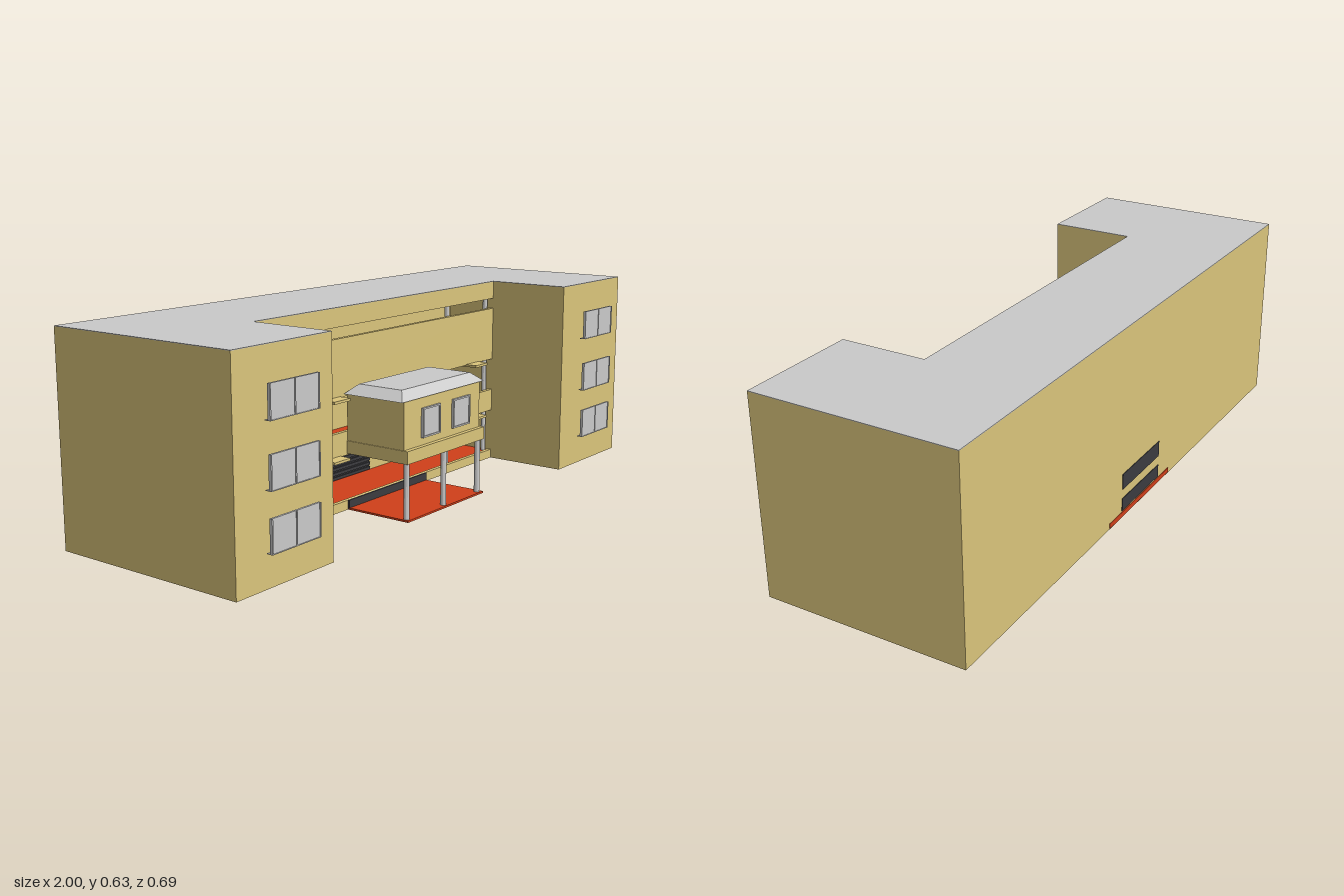
import * as THREE from 'three';

export function createModel() {
  const model = new THREE.Group();
  const mat = (color) => new THREE.MeshStandardMaterial({ color, flatShading: true });
  const yellow = mat(0xdcc67c), red = mat(0xd2401a), dark = mat(0x3c3c40), grey = mat(0xcccccc);

  const add = (name, geometry, material) => {
    const mesh = new THREE.Mesh(geometry, material);
    mesh.name = name;
    model.add(mesh);
    return mesh;
  };
  // Box given by its extents
  const box = (name, material, x0, x1, y0, y1, z0, z1) => {
    const mesh = add(name, new THREE.BoxGeometry(x1 - x0, y1 - y0, z1 - z0), material);
    mesh.position.set((x0 + x1) / 2, (y0 + y1) / 2, (z0 + z1) / 2);
    return mesh;
  };
  const column = (name, x, z, y0, y1, r) => {
    const mesh = add(name, new THREE.CylinderGeometry(r, r, y1 - y0, 12), grey);
    mesh.position.set(x, (y0 + y1) / 2, z);
  };

  const L = -0.62, R = 0.605, H = 0.633, BACK = -0.345, INNER = -0.15, FRONT = 0.03, WING = 0.31;

  // Main block and the two projecting wings
  box('rearBlock', yellow, -1, 1, 0, H, BACK, INNER);
  box('rightWing', yellow, -1, L, 0, H, INNER, WING);
  box('leftWing', yellow, R, 1, 0, H, INNER, WING);

  // Flat U-shaped roof
  const plan = [[-1, BACK], [1, BACK], [1, WING], [R, WING], [R, FRONT], [L, FRONT], [L, WING], [-1, WING]];
  const roofShape = new THREE.Shape(plan.map(([x, z]) => new THREE.Vector2(x, -z)));
  const roof = add('flatRoof', new THREE.ExtrudeGeometry(roofShape, { depth: 0.002, bevelEnabled: false }), grey);
  roof.rotation.x = -Math.PI / 2;
  roof.position.y = H;

  // Open galleries: floor slabs, red flooring and parapets
  const storeys = [
    { slab: 0, floor: 0.028, rail: 0.03 },
    { slab: 0.175, floor: 0.2, rail: 0.25 },
    { slab: 0.36, floor: 0.385, rail: 0.54 },
  ];
  storeys.forEach(({ slab, floor, rail }) => {
    box('gallerySlab', yellow, L, R, slab, floor - 0.003, INNER, 0.016);
    box('galleryFloor', red, L, R, floor - 0.003, floor, INNER, 0.016);
    box('galleryParapet', yellow, L, R, slab, rail, 0.016, FRONT);
  });
  box('galleryCeiling', yellow, L, R, 0.575, H, INNER, FRONT);
  for (const x of [-0.605, -0.35, 0.355, 0.59]) column('galleryColumn', x, 0.006, 0.028, 0.575, 0.008);

  // Small ledges jutting out above the gallery openings
  for (const y of [0.17, 0.355])
    for (const x of [-0.487, -0.283, 0.277, 0.477])
      box('galleryLedge', yellow, x - 0.037, x + 0.037, y, y + 0.008, 0, 0.07);

  // Wing windows with sills and mullions
  for (const [x0, x1] of [[-0.905, -0.715], [0.695, 0.885]])
    for (const y of [0.105, 0.27, 0.45]) {
      box('wingWindow', grey, x0, x1, y, y + 0.094, 0.339, 0.346);
      box('windowSill', grey, x0, x1, y - 0.001, y + 0.001, 0.328, 0.348);
      for (const t of [0, 0.5, 1]) {
        const x = x0 + 0.002 + t * (x1 - x0 - 0.004);
        box('windowMullion', grey, x - 0.002, x + 0.002, y, y + 0.094, 0.339, 0.348);
      }
    }

  // Entrance porch: paving, step, columns and upper room
  box('porchFloor', red, -0.21, 0.2, 0, 0.006, FRONT, 0.26);
  box('entranceStep', dark, -0.21, 0.2, 0, 0.031, FRONT, 0.036);
  for (const x of [-0.198, -0.005, 0.185]) column('porchColumn', x, 0.245, 0, 0.18, 0.009);
  box('porchBeam', yellow, -0.215, 0.2, 0.18, 0.22, FRONT, 0.26);
  box('porchRoom', yellow, -0.212, 0.193, 0.22, 0.37, FRONT, 0.245);
  for (const [x0, x1] of [[-0.125, -0.033], [0.037, 0.13]]) {
    box('porchWindow', grey, x0, x1, 0.243, 0.335, 0.245, 0.25);
    for (const x of [x0, x1 - 0.005]) box('porchWindowFrame', grey, x, x + 0.005, 0.243, 0.335, 0.245, 0.253);
    for (const y of [0.243, 0.33]) box('porchWindowFrame', grey, x0, x1, y, y + 0.005, 0.245, 0.253);
  }

  // Hipped porch roof: a box whose top face is drawn in
  const hip = box('porchRoof', grey, -0.228, 0.21, 0.368, 0.397, FRONT, 0.25);
  const p = hip.geometry.attributes.position;
  for (let i = 0; i < p.count; i++)
    if (p.getY(i) > 0) p.setXYZ(i, p.getX(i) * 0.83, p.getY(i), p.getZ(i) * 0.73);
  hip.geometry.computeVertexNormals();

  // Slatted entrance shutter on the inner wall
  box('entranceShutter', dark, -0.135, 0.12, 0.03, 0.155, INNER, INNER + 0.004);
  for (let i = 0; i < 8; i++) {
    const y = 0.032 + i * 0.0155;
    box('shutterSlat', dark, -0.135, 0.12, y, y + 0.01, INNER + 0.004, INNER + 0.01);
  }

  // Rear vents and threshold
  box('rearVent', dark, -0.127, 0.127, 0.1, 0.153, BACK - 0.002, BACK);
  box('rearVent', dark, -0.127, 0.127, 0.025, 0.068, BACK - 0.002, BACK);
  box('rearThreshold', red, -0.207, 0.207, 0.003, 0.02, BACK - 0.002, BACK);

  return model;
}
